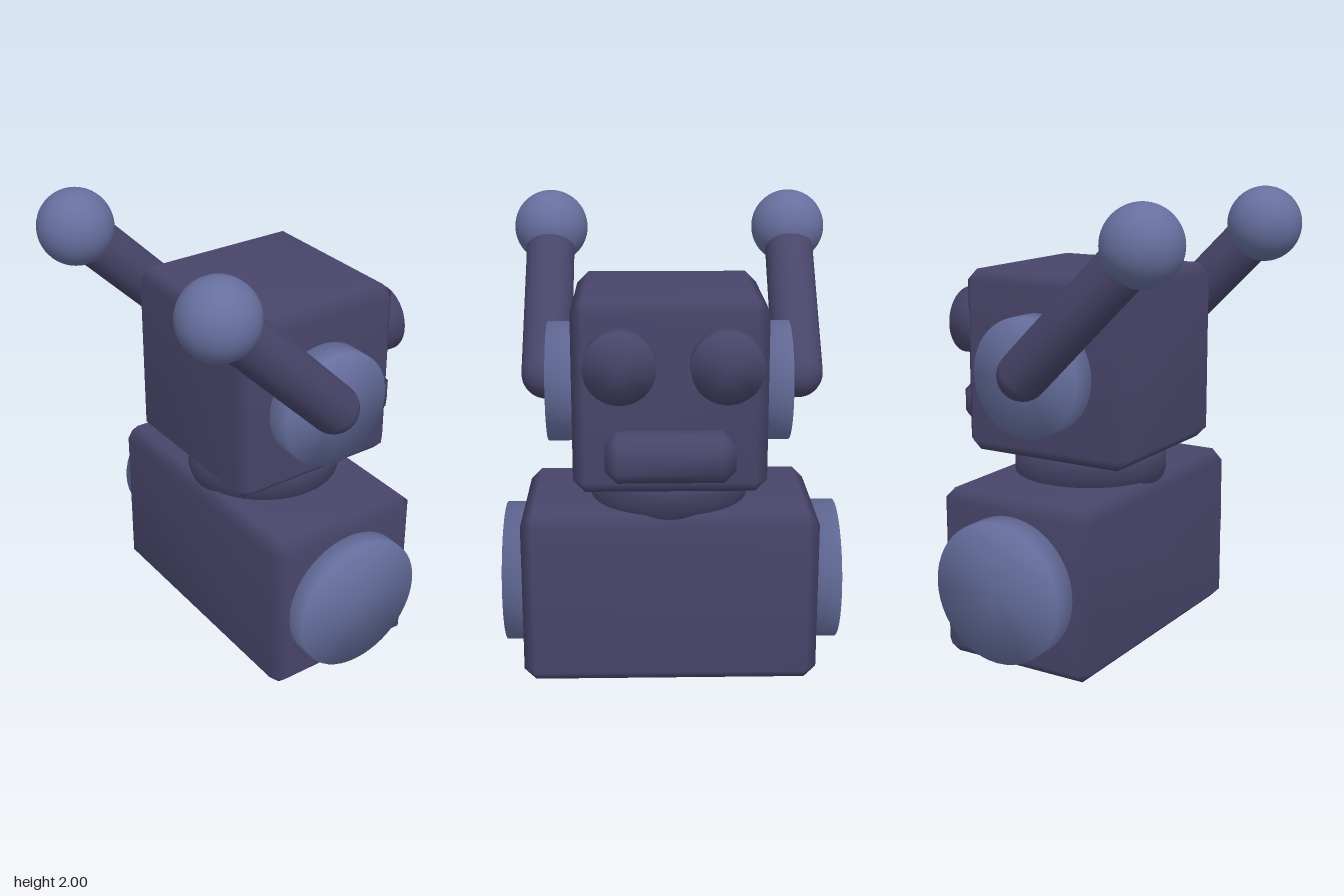
import * as THREE from 'three';
import { mergeVertices } from 'three/addons/utils/BufferGeometryUtils.js';
import { ConvexGeometry } from 'three/addons/geometries/ConvexGeometry.js';

// Share normals across all edges for a soft-shaded look
function smooth(geometry) {
  geometry.deleteAttribute('normal');
  geometry.deleteAttribute('uv');
  const merged = mergeVertices(geometry, 1e-4);
  merged.computeVertexNormals();
  return merged;
}

// Box given by its limits, with a single flat bevel on every edge
function bevelBox([x0, x1], [y0, y1], [z0, z1], bevel) {
  const half = [(x1 - x0) / 2, (y1 - y0) / 2, (z1 - z0) / 2];
  const points = [];
  for (const sx of [-1, 1]) for (const sy of [-1, 1]) for (const sz of [-1, 1]) {
    for (let axis = 0; axis < 3; axis++) {
      const p = half.map((h, i) => (i === axis ? h : h - bevel));
      points.push(new THREE.Vector3(p[0] * sx, p[1] * sy, p[2] * sz));
    }
  }
  const geometry = smooth(new ConvexGeometry(points));
  geometry.translate((x0 + x1) / 2, (y0 + y1) / 2, (z0 + z1) / 2);
  return geometry;
}

// Solid cylinder between two points
function rod(a, b, radius) {
  const from = new THREE.Vector3(...a), to = new THREE.Vector3(...b);
  const dir = to.clone().sub(from);
  const geometry = smooth(new THREE.CylinderGeometry(radius, radius, dir.length(), 48));
  geometry.applyQuaternion(new THREE.Quaternion().setFromUnitVectors(
    new THREE.Vector3(0, 1, 0), dir.clone().normalize()));
  const mid = from.add(to).multiplyScalar(0.5);
  return geometry.translate(mid.x, mid.y, mid.z);
}

export function createModel() {
  const model = new THREE.Group();
  model.name = 'robot';
  const dark = new THREE.MeshStandardMaterial({ name: 'darkPurple', color: 0x48456a });
  const blue = new THREE.MeshStandardMaterial({ name: 'slateBlue', color: 0x666f9e });

  const add = (name, geometry, material, parent = model) => {
    const mesh = new THREE.Mesh(geometry, material);
    mesh.name = name;
    parent.add(mesh);
  };

  // Body, neck and head
  add('body', bevelBox([-0.265, 0.48], [0, 0.75], [-0.62, 0.64], 0.05), dark);
  add('neck', rod([0.107, 0.7, 0.01], [0.107, 0.9, 0.01], 0.34), dark);
  add('head', bevelBox([-0.295, 0.51], [0.865, 1.665], [-0.39, 0.412], 0.05), dark);

  // Face, looking towards +x
  for (const [name, z] of [['rightEye', 0.215], ['leftEye', -0.215]]) {
    add(name, rod([0.45, 1.418, z], [0.602, 1.418, z], 0.147), dark);
  }
  add('mouth', bevelBox([0.42, 0.645], [0.945, 1.14], [-0.253, 0.277], 0.05), dark);

  // Side discs and antennae
  for (const [side, s, shoulder, ear, antenna] of [
    ['right', 1, 0.727, 0.527, 0.537],
    ['left', -1, 0.727, 0.505, 0.551],
  ]) {
    add(side + 'ShoulderDisc', rod([0.107, 0.378, s * 0.55], [0.107, 0.378, s * shoulder], 0.307), blue);
    add(side + 'EarDisc', rod([0.107, 1.25, s * 0.34], [0.107, 1.25, s * ear], 0.257), blue);

    const group = new THREE.Group();
    group.name = side + 'Antenna';
    model.add(group);
    const z = s * antenna;
    add('antennaRod', rod([0.08, 1.275, z], [-0.48, 1.835, z], 0.108), dark, group);
    add('antennaJoint', new THREE.SphereGeometry(0.108, 32, 20).translate(0.08, 1.275, z), dark, group);
    add('antennaBall', new THREE.SphereGeometry(0.166, 40, 28).translate(-0.48, 1.834, z), blue, group);
  }

  return model;
}
